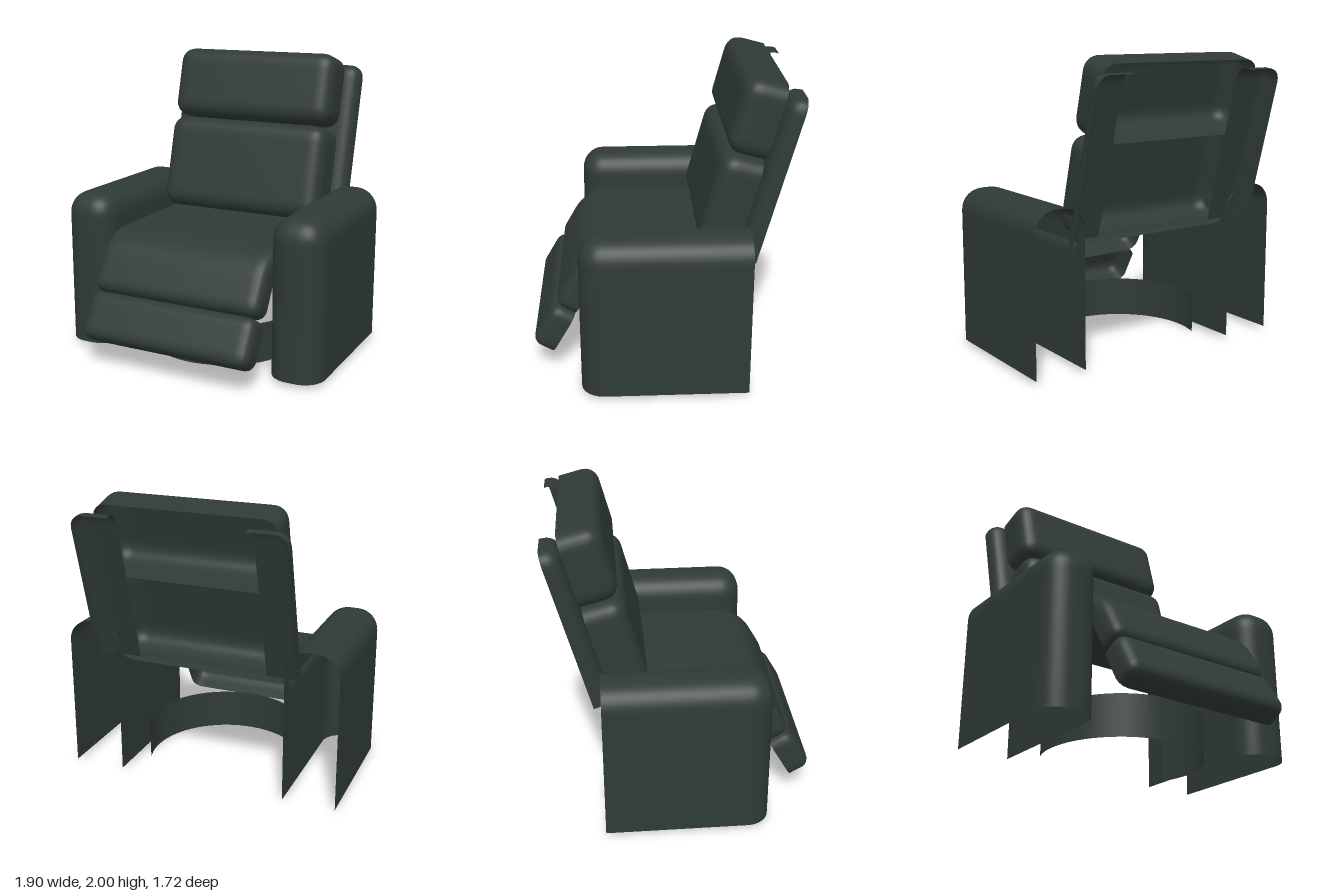
import * as THREE from 'three';
import { mergeVertices } from 'three/addons/utils/BufferGeometryUtils.js';

const leather = new THREE.MeshStandardMaterial({ color: 0x2f3a38, side: THREE.DoubleSide });
leather.name = 'darkLeather';

// Rounded box cut open along the lower limits in `min`; `bend` may remap each vertex.
function shell(w, h, d, r, min, bend) {
  const seg = (n) => Math.max(6, Math.ceil(n / 0.03));
  const geo = new THREE.BoxGeometry(w, h, d, seg(w), seg(h), seg(d));
  const half = new THREE.Vector3(w / 2 - r, h / 2 - r, d / 2 - r);
  const low = new THREE.Vector3(...min);
  const pos = geo.attributes.position;
  const p = new THREE.Vector3();
  const core = new THREE.Vector3();
  const cut = []; // which open sides each vertex lies on
  for (let i = 0; i < pos.count; i++) {
    p.fromBufferAttribute(pos, i);
    core.copy(p).clamp(half.clone().negate(), half);
    p.sub(core).setLength(r).add(core);
    cut.push((p.x <= low.x ? 1 : 0) | (p.y <= low.y ? 2 : 0) | (p.z <= low.z ? 4 : 0));
    p.max(low);
    if (bend) bend(p);
    pos.setXYZ(i, p.x, p.y, p.z);
  }
  const kept = [];
  const index = geo.index.array;
  for (let i = 0; i < index.length; i += 3) {
    const [a, b, c] = [index[i], index[i + 1], index[i + 2]];
    if (!(cut[a] & cut[b] & cut[c])) kept.push(a, b, c);
  }
  geo.setIndex(kept);
  geo.clearGroups();
  geo.deleteAttribute('uv');
  geo.deleteAttribute('normal');
  const merged = mergeVertices(geo, 1e-4);
  merged.computeVertexNormals();
  return merged;
}

function addPart(parent, name, geo, x = 0, y = 0, z = 0) {
  const mesh = new THREE.Mesh(geo, leather);
  mesh.name = name;
  mesh.position.set(x, y, z);
  parent.add(mesh);
  return mesh;
}

export function createModel() {
  const chair = new THREE.Group();
  chair.name = 'recliner';
  const width = 1.22;
  const far = -9; // limit that leaves a side closed

  // Armrests, open at the back and underneath
  const armGeo = shell(0.36, 1.26, 1.28, 0.15, [far, -0.43, -0.44]);
  addPart(chair, 'leftArm', armGeo, 0.77, 0.46, -0.09);
  addPart(chair, 'rightArm', armGeo, -0.77, 0.46, -0.09);

  // Seat cushion: flat top, bending 60 degrees down at the knees
  const thick = 0.155;
  const bendRadius = 0.3;
  const seatGeo = shell(width, 1.548, thick * 2, 0.07, [far, -0.574, 0], (p) => {
    const s = p.y + 0.574 - 0.8;
    const a = THREE.MathUtils.clamp(s / bendRadius, 0, Math.PI / 3);
    const rest = s - a * bendRadius;
    const rad = bendRadius - thick + p.z;
    p.set(-p.x,
      0.56 + Math.cos(a) * rad - Math.sin(a) * rest,
      0.35 + Math.sin(a) * rad + Math.cos(a) * rest);
  });
  addPart(chair, 'seat', seatGeo);

  // Footrest pad, open behind
  const foot = addPart(chair, 'footrest', shell(width, 0.325, 0.32, 0.07, [far, far, 0]),
    0, 0.145 + 0.1625 * 0.866, 0.75 - 0.1625 * 0.5);
  foot.rotation.x = -Math.PI / 6;

  // Reclined back: two cushions and a pair of side supports
  const back = new THREE.Group();
  back.name = 'backrest';
  back.position.set(0, 0.83, -0.455);
  back.rotation.x = -Math.PI / 12;
  chair.add(back);
  addPart(back, 'lumbarCushion', shell(width, 0.66, 0.53, 0.1, [far, far, 0]), 0, 0.33, 0);
  addPart(back, 'headCushion', shell(width, 0.5, 0.52, 0.1, [far, far, 0]), 0, 0.92, 0);
  const wingGeo = shell(0.46, 1.3, 0.42, 0.09, [-0.03, -0.45, 0.1]);
  for (const side of [1, -1]) {
    const wing = addPart(back, side > 0 ? 'leftBackSupport' : 'rightBackSupport', wingGeo,
      side * 0.48, 0.49, -0.214);
    wing.scale.x = side;
  }

  // Curved base band, open at the rear
  addPart(chair, 'base', new THREE.CylinderGeometry(0.54, 0.54, 0.28, 48, 1, true, -1.95, 3.9),
    0, 0.14, -0.06);

  return chair;
}
